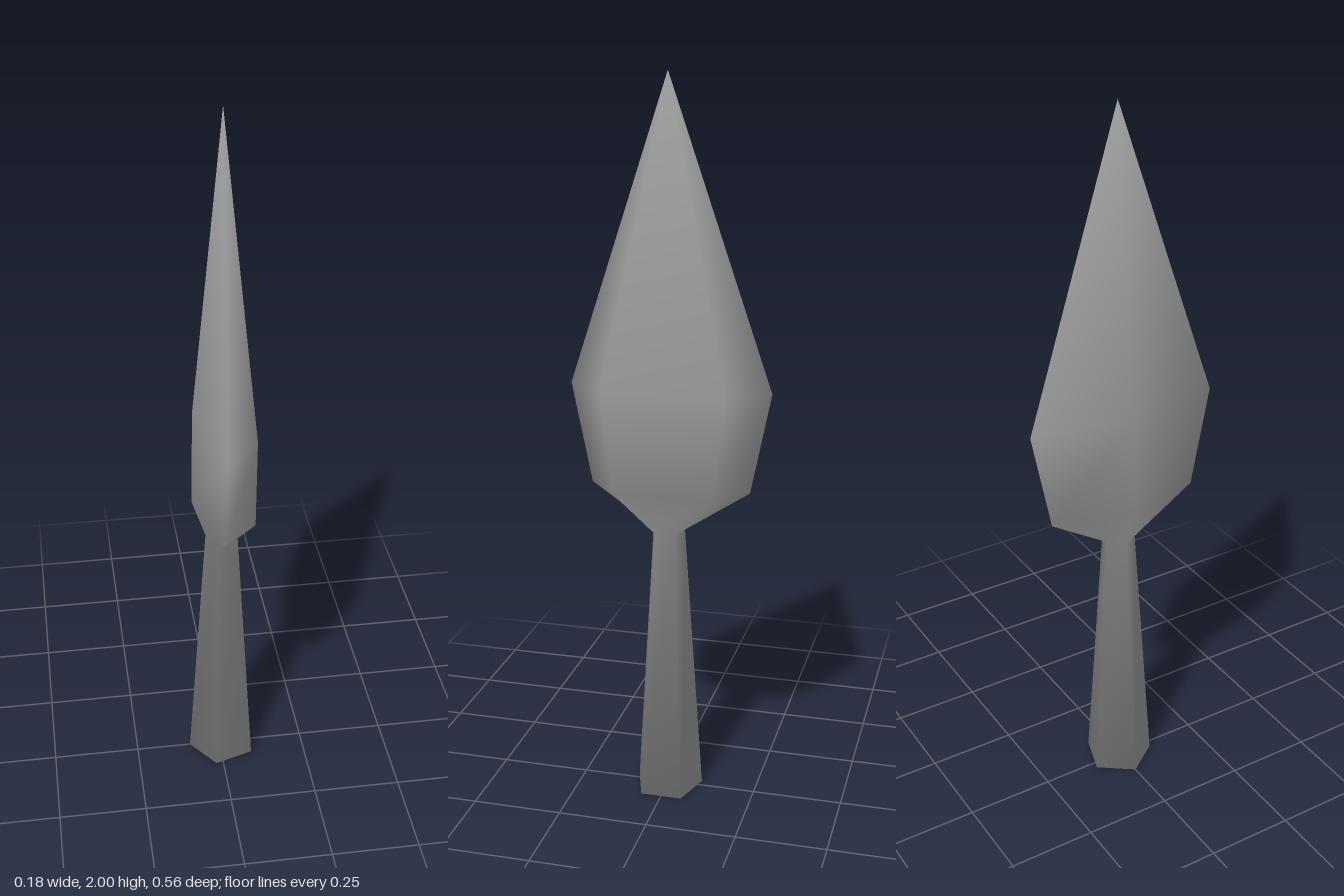
import * as THREE from 'three';

const SIDES = 5;
const AXIS_X = 0.0095; // the pentagon's axis sits slightly off the bounding box centre

// Soft normals: each face counts by its corner angle, so the small base rounds off the socket.
function angleWeightedNormals(points, index) {
  const normals = points.map(() => new THREE.Vector3());
  for (let t = 0; t < index.length; t += 3) {
    for (let c = 0; c < 3; c++) {
      const i = index[t + c];
      const u = points[index[t + ((c + 1) % 3)]].clone().sub(points[i]);
      const v = points[index[t + ((c + 2) % 3)]].clone().sub(points[i]);
      normals[i].addScaledVector(u.clone().cross(v).normalize(), u.angleTo(v));
    }
  }
  return normals.flatMap((n) => n.normalize().toArray());
}

// Lofts pentagonal rings [y, radiusX, radiusZ] up to a pointed tip, with a closed base.
function loftToTip(rings, tipY) {
  const points = [];
  const index = [];
  for (const [y, rx, rz] of rings) {
    for (let k = 0; k < SIDES; k++) {
      const a = (k / SIDES) * Math.PI * 2;
      points.push(new THREE.Vector3(AXIS_X - rx * Math.cos(a), y, rz * Math.sin(a)));
    }
  }
  const tip = points.length;
  points.push(new THREE.Vector3(AXIS_X, tipY, 0));

  for (let i = 0; i < rings.length; i++) {
    for (let k = 0; k < SIDES; k++) {
      const a = i * SIDES + k;
      const b = i * SIDES + ((k + 1) % SIDES);
      if (i === rings.length - 1) index.push(a, b, tip);
      else index.push(a, b, b + SIDES, a, b + SIDES, a + SIDES);
    }
  }
  // flat base
  for (let k = 1; k < SIDES - 1; k++) index.push(0, k + 1, k);

  const geometry = new THREE.BufferGeometry();
  geometry.setAttribute('position', new THREE.Float32BufferAttribute(points.flatMap((p) => p.toArray()), 3));
  geometry.setAttribute('normal', new THREE.Float32BufferAttribute(angleWeightedNormals(points, index), 3));
  geometry.setIndex(index);
  return geometry;
}

export function createModel() {
  const group = new THREE.Group();
  group.name = 'spear';

  // Tapering socket that widens into the leaf-shaped blade
  const rings = [
    [0, 0.0995, 0.0985],   // socket base
    [0.775, 0.048, 0.047], // neck
    [0.89, 0.086, 0.234],  // blade shoulder
    [1.17, 0.082, 0.293],  // widest part of the blade
  ];
  const spearhead = new THREE.Mesh(
    loftToTip(rings, 2),
    new THREE.MeshStandardMaterial({ color: 0x999999 })
  );
  spearhead.name = 'spearhead';
  group.add(spearhead);

  return group;
}
